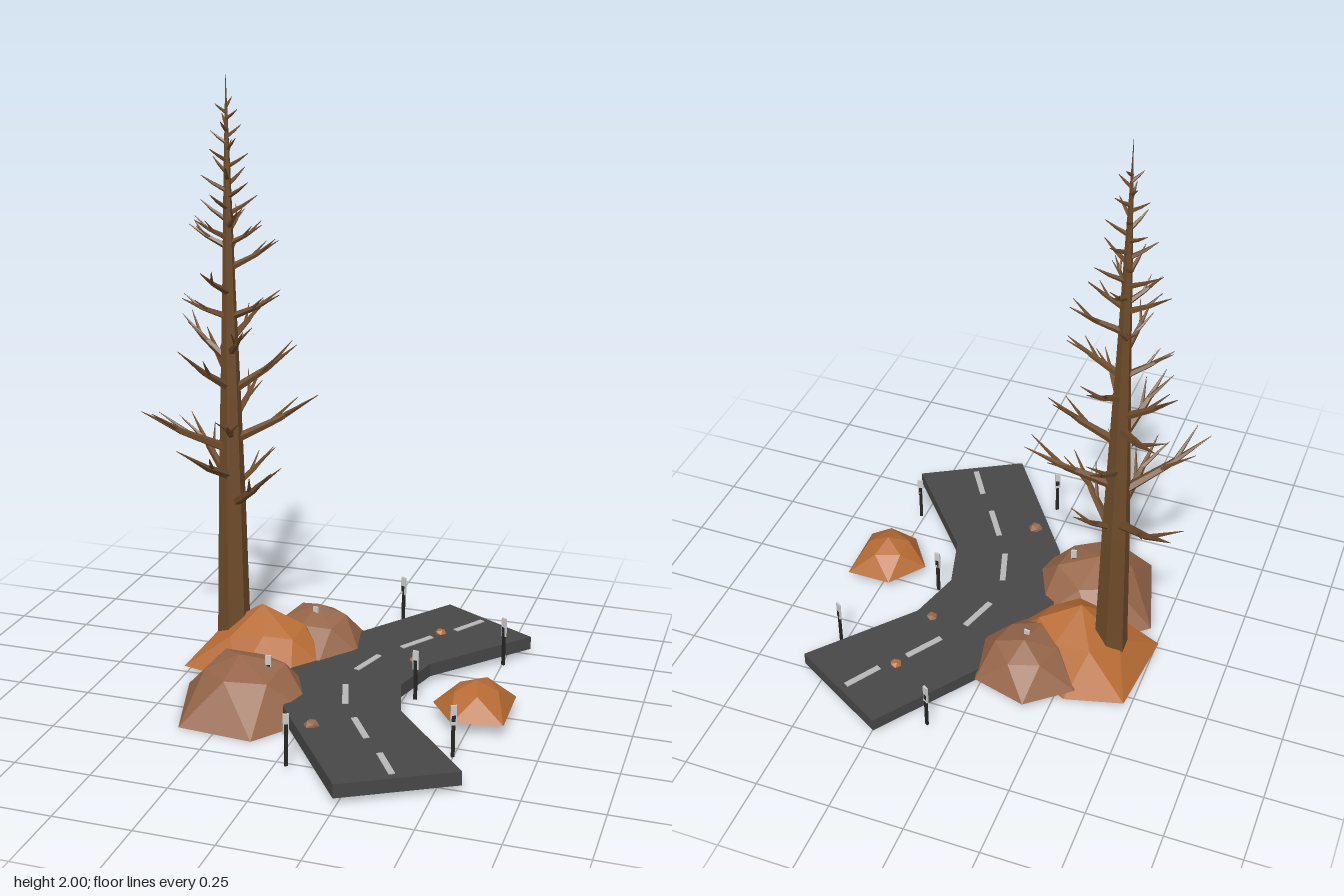
import * as THREE from 'three';

const mat = (color, extra = {}) => new THREE.MeshStandardMaterial({ color, flatShading: true, ...extra });
const bark = mat(0x6e4b2a);
const orangeRock = mat(0xb86c34, { side: THREE.DoubleSide });
const brownRock = mat(0x97674a, { side: THREE.DoubleSide });
const asphalt = mat(0x474747);
const paint = mat(0xb8b8b8);
const postLight = mat(0xcccccc);
const postDark = mat(0x252525);

function add(parent, name, geometry, material, x = 0, y = 0, z = 0) {
  const mesh = new THREE.Mesh(geometry, material);
  mesh.name = name;
  mesh.position.set(x, y, z);
  parent.add(mesh);
  return mesh;
}

// Faceted boulder, open below: base ring, shoulder ring and a peak
function boulder(base, y0, peak, pull, rise) {
  const n = base.length;
  const top = new THREE.Vector3(...peak);
  const low = base.map(([x, z]) => new THREE.Vector3(x, y0, z));
  const mid = low.map((p, i) => {
    const m = p.clone().lerp(low[(i + 1) % n], 0.5).lerp(top, pull);
    m.y = y0 + (top.y - y0) * (rise + (i % 2 ? 0.06 : -0.04));
    return m;
  });
  const pts = [];
  for (let i = 0; i < n; i++) {
    const j = (i + 1) % n;
    pts.push(low[i], low[j], mid[i], mid[i], low[j], mid[j], mid[i], mid[j], top);
  }
  const g = new THREE.BufferGeometry().setFromPoints(pts);
  g.computeVertexNormals();
  return g;
}

// Tapered stick between two points
function stick(parent, name, a, b, r0, r1) {
  const d = b.clone().sub(a);
  const g = new THREE.CylinderGeometry(r1, r0, d.length(), 5);
  const m = add(parent, name, g, bark);
  m.position.copy(a).addScaledVector(d, 0.5);
  m.quaternion.setFromUnitVectors(new THREE.Vector3(0, 1, 0), d.normalize());
}

function buildRoad() {
  const road = new THREE.Group();
  road.name = 'road';
  // Outline of one half; the other half mirrors it across z = 0
  const half = [[-0.13, 0], [-0.06, 0.27], [0.24, 0.69], [0.575, 0.5], [0.3, 0.18], [0.25, 0]];
  const outline = [...half, ...half.slice(1, -1).reverse().map(([x, z]) => [x, -z])];
  const shape = new THREE.Shape(outline.map(([x, z]) => new THREE.Vector2(x, -z)));
  const g = new THREE.ExtrudeGeometry(shape, { depth: 0.045, bevelEnabled: false });
  g.rotateX(-Math.PI / 2);
  add(road, 'roadSlab', g, asphalt, 0, 0.02, 0);

  // Centre line dashes
  const dashes = [[0.385, 0.58, 0.315, 0.47], [0.25, 0.39, 0.175, 0.275], [0.12, 0.19, 0.08, 0.06]];
  for (const s of [-1, 1]) {
    for (const [x1, z1, x2, z2] of dashes) {
      const len = Math.hypot(x2 - x1, z2 - z1);
      const dash = add(road, 'laneDash', new THREE.BoxGeometry(0.02, 0.004, len), paint,
        (x1 + x2) / 2, 0.066, s * (z1 + z2) / 2);
      dash.rotation.y = Math.atan2(x1 - x2, s * (z1 - z2));
    }
  }
  return road;
}

function buildPost(x, z, turn) {
  const post = new THREE.Group();
  post.name = 'roadsidePost';
  add(post, 'postStake', new THREE.BoxGeometry(0.011, 0.13, 0.007), postDark, 0, 0.08, 0);
  add(post, 'postBoard', new THREE.BoxGeometry(0.019, 0.065, 0.007), postLight, 0, 0.153, 0);
  add(post, 'postBand', new THREE.BoxGeometry(0.012, 0.02, 0.009), postDark, 0, 0.143, 0);
  post.position.set(x, 0, z);
  post.rotation.y = turn;
  return post;
}

function buildTree() {
  const tree = new THREE.Group();
  tree.name = 'deadTree';
  tree.position.set(-0.38, 0, -0.135);
  const profile = [[0, 0.03], [0.06, 0.03], [0.054, 0.2], [0.045, 0.6], [0.034, 0.95], [0.022, 1.3], [0.012, 1.65], [0, 2]]
    .map(([r, y]) => new THREE.Vector2(r, y));
  add(tree, 'trunk', new THREE.LatheGeometry(profile, 6), bark);

  // Branch rows: start height, then tip offset x, height, z
  const branches = [
    [0.58, 0.2, 0.75, 0.17], [0.63, 0.1, 0.74, -0.13], [0.65, -0.23, 0.81, -0.215], [0.68, -0.05, 0.81, 0.265],
    [0.77, -0.24, 0.92, 0.18], [0.8, 0.27, 0.945, 0.1 - 0.2], [0.86, 0.03, 0.98, -0.2], [0.82, 0.06, 0.9, 0.19],
    [0.97, 0.21, 1.12, -0.06], [0.98, -0.08, 1.12, 0.2], [1.02, -0.16, 1.12, -0.2], [1.07, -0.18, 1.2, -0.04],
    [1.1, 0.1, 1.2, 0.14], [1.14, 0.06, 1.24, -0.16], [1.22, 0.18, 1.3, 0.02], [1.22, -0.13, 1.28, 0.08],
    [1.3, -0.03, 1.38, 0.16], [1.38, 0.15, 1.46, -0.06], [1.37, -0.05, 1.45, -0.14], [1.45, -0.13, 1.51, 0.01],
  ];
  // Shorter upper branches spiral to the tip
  for (let i = 0; i < 24; i++) {
    const y = 1.46 + i * 0.019;
    const len = 0.115 - i * 0.0036;
    const a = i * 2.4;
    branches.push([y, Math.cos(a) * len, y + len * 0.5, Math.sin(a) * len]);
  }
  branches.forEach(([y, x, ty, z], i) => {
    const root = new THREE.Vector3(0, y - 0.01, 0);
    const tip = new THREE.Vector3(x, ty, z);
    const d = tip.clone().sub(root);
    const r = Math.min(0.017, 0.004 + d.length() * 0.045);
    const elbow = root.clone().addScaledVector(d, 0.55);
    elbow.y -= d.length() * 0.03;
    stick(tree, 'branch', root, elbow, r, r * 0.65);
    stick(tree, 'branchEnd', elbow, tip, r * 0.65, 0.001);
    if (d.length() < 0.12) return;
    // Side twigs fork off alternately
    for (const [t, turn] of [[0.45, 0.5], [0.62, -0.55]]) {
      const from = root.clone().addScaledVector(d, t);
      from.y -= d.length() * 0.02;
      const dir = d.clone().multiplyScalar(0.36).applyAxisAngle(new THREE.Vector3(0, 1, 0), i % 2 ? turn : -turn);
      dir.y += 0.015;
      stick(tree, 'twig', from, from.clone().add(dir), r * 0.5, 0.001);
    }
  });
  return tree;
}

export function createModel() {
  const model = new THREE.Group();
  model.name = 'roadsideScene';
  model.add(buildRoad(), buildTree());

  // Boulders, base rings listed as x, z
  add(model, 'frontBoulder', boulder(
    [[-0.46, 0.08], [-0.37, 0.385], [-0.12, 0.405], [0.03, 0.2], [-0.07, -0.02], [-0.3, -0.05]],
    0, [-0.24, 0.18, 0.18], 0.38, 0.74), brownRock);
  add(model, 'middleBoulder', boulder(
    [[-0.51, 0], [-0.3, 0.05], [-0.12, 0.03], [-0.02, -0.1], [-0.08, -0.25], [-0.29, -0.35], [-0.48, -0.3]],
    0.02, [-0.27, 0.23, -0.12], 0.38, 0.6), orangeRock);
  add(model, 'backBoulder', boulder(
    [[-0.32, -0.33], [-0.26, -0.12], [-0.06, -0.07], [0.045, -0.21], [0.005, -0.395], [-0.18, -0.445]],
    0.05, [-0.13, 0.18, -0.29], 0.36, 0.7), brownRock);
  add(model, 'sideBoulder', boulder(
    [[0.37, 0.05], [0.46, 0.175], [0.62, 0.145], [0.615, -0.07], [0.46, -0.07]],
    0.045, [0.51, 0.143, 0.05], 0.35, 0.7), orangeRock);

  // Loose stones on the road
  for (const [x, z, r, m] of [[0.27, -0.435, 0.021, orangeRock], [0.243, -0.19, 0.02, brownRock], [0.065, 0.36, 0.026, brownRock]]) {
    const stone = add(model, 'looseStone', new THREE.IcosahedronGeometry(r, 0), m, x, 0.066, z);
    stone.scale.y = 0.7;
    stone.rotation.y = x * 9;
  }

  // Posts along both verges
  for (const [x, z, turn] of [[0.09, -0.6, -0.5], [0.51, -0.355, -0.6], [0.295, -0.01, -0.1], [0.505, 0.33, 0.4],
    [0.045, 0.54, 0.5], [-0.145, 0.17, 0.2], [-0.125, -0.25, -0.2]]) model.add(buildPost(x, z, turn));
  return model;
}
